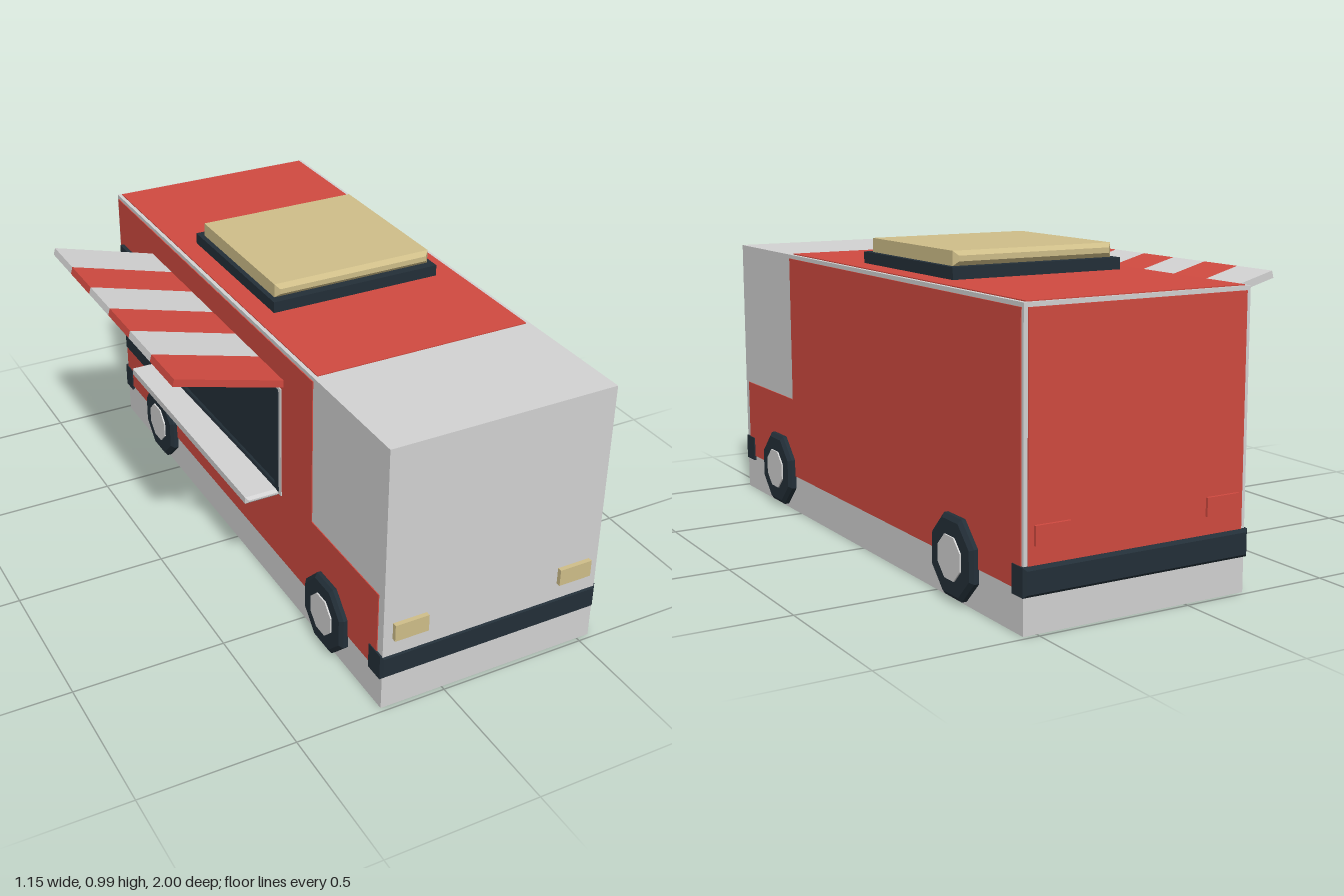
import * as THREE from 'three';

const mat = (name, color, opts = {}) => {
  const m = new THREE.MeshStandardMaterial({ color, ...opts });
  m.name = name;
  return m;
};

export function createModel() {
  const grey = mat('lightGrey', 0xd2d2d2, { flatShading: true });
  const red = mat('red', 0xd04a40, { flatShading: true });
  const dark = mat('darkSlate', 0x232f38, { flatShading: true });
  const beige = mat('beige', 0xcfbe89, { flatShading: true });

  const truck = new THREE.Group();
  truck.name = 'foodTruck';

  const add = (name, geo, material, parent = truck) => {
    const m = new THREE.Mesh(geo, material);
    m.name = name;
    parent.add(m);
    return m;
  };
  // box given by its minimum and maximum on each axis
  const box = (name, material, [x0, x1], [y0, y1], [z0, z1]) => {
    const g = new THREE.BoxGeometry(x1 - x0, y1 - y0, z1 - z0);
    g.translate((x0 + x1) / 2, (y0 + y1) / 2, (z0 + z1) / 2);
    return add(name, g, material);
  };
  // box with a single chamfer along every edge
  const chamferBox = (name, material, [x0, x1], [y0, y1], [z0, z1], b) => {
    const s = new THREE.Shape();
    s.moveTo(x0 + b, y0 + b).lineTo(x1 - b, y0 + b).lineTo(x1 - b, y1 - b).lineTo(x0 + b, y1 - b);
    s.closePath();
    const g = new THREE.ExtrudeGeometry(s, {
      depth: z1 - z0 - 2 * b, bevelEnabled: true, bevelSize: b, bevelThickness: b, bevelSegments: 1,
    });
    g.translate(0, 0, z0 + b);
    return add(name, g, material);
  };

  const L = -0.212, R = 0.543, MID = (L + R) / 2;

  // Body shell
  box('body', grey, [L, R], [0, 0.905], [-0.985, 0.985]);

  // Red side panels, stepped below the cab
  for (const [name, x] of [['rightSidePanel', L - 0.003], ['leftSidePanel', R]]) {
    const s = new THREE.Shape();
    s.moveTo(-0.955, 0.127).lineTo(0.975, 0.127).lineTo(0.975, 0.892)
      .lineTo(-0.545, 0.892).lineTo(-0.545, 0.4).lineTo(-0.955, 0.4);
    s.closePath();
    const g = new THREE.ExtrudeGeometry(s, { depth: 0.003, bevelEnabled: false });
    g.rotateY(Math.PI / 2).translate(x, 0, 0);
    add(name, g, red);
  }
  box('roofPanel', red, [L + 0.013, R - 0.013], [0.905, 0.908], [-0.975, 0.545]);
  box('backPanel', red, [L + 0.013, R - 0.013], [0.127, 0.892], [-0.988, -0.985]);

  // Bumpers wrap slightly round the body
  chamferBox('frontBumper', dark, [L - 0.006, R + 0.006], [0.11, 0.195], [0.905, 0.99], 0.009);
  chamferBox('rearBumper', dark, [L - 0.006, R + 0.006], [0.11, 0.195], [-1, -0.925], 0.009);

  // Lamps
  for (const side of [-1, 1]) {
    const c = MID + side * 0.289;
    box('headlight', beige, [c - 0.057, c + 0.057], [0.25, 0.307], [0.98, 1]);
    box('taillight', red, [c - 0.057, c + 0.057], [0.25, 0.307], [-0.997, -0.98]);
  }

  // Eight-sided wheels with chamfered tyres
  const tyreProfile = [[0.0, -0.02], [0.132, -0.02], [0.132, 0.016], [0.118, 0.026], [0.07, 0.026], [0, 0.02]]
    .map(([r, y]) => new THREE.Vector2(r, y));
  const tyreGeo = new THREE.LatheGeometry(tyreProfile, 8, Math.PI / 8);
  const hubGeo = new THREE.CylinderGeometry(0.07, 0.07, 0.04, 8, 1, false, Math.PI / 8);
  for (const side of [-1, 1]) {
    for (const z of [0.66, -0.627]) {
      const wheel = new THREE.Group();
      wheel.name = 'wheel';
      add('tyre', tyreGeo, dark, wheel);
      add('hub', hubGeo, grey, wheel).position.y = 0.011;
      wheel.rotation.z = -side * Math.PI / 2;
      wheel.position.set(side > 0 ? R : L, 0.134, z);
      truck.add(wheel);
    }
  }

  // Roof hatch
  box('hatchBase', dark, [-0.132, 0.46], [0.9, 0.945], [-0.457, 0.132]);
  chamferBox('hatchLid', beige, [-0.115, 0.443], [0.945, 0.99], [-0.44, 0.115], 0.014);

  // Serving window with a thin frame
  box('windowFrame', grey, [L - 0.006, L], [0.375, 0.765], [-0.64, 0.345]);
  box('servingWindow', dark, [L - 0.009, L], [0.385, 0.755], [-0.625, 0.33]);

  // Counter shelf
  chamferBox('counter', grey, [-0.33, L + 0.02], [0.363, 0.387], [-0.63, 0.325], 0.009);

  // Striped awning, rising outwards
  const inner = new THREE.Vector2(-0.205, 0.788), outer = new THREE.Vector2(-0.573, 0.887);
  const span = inner.clone().sub(outer), awning = new THREE.Group();
  awning.name = 'awning';
  for (let i = 0; i < 6; i++) {
    const g = new THREE.BoxGeometry(span.length(), 0.024, 0.17);
    add('awningStripe', g, i % 2 ? red : grey, awning).position.z = -0.575 + i * 0.17;
  }
  awning.position.set((inner.x + outer.x) / 2, (inner.y + outer.y) / 2, 0);
  awning.rotation.z = span.angle();
  truck.add(awning);

  // Awning struts
  const low = new THREE.Vector3(L, 0.39, 0), high = new THREE.Vector3(-0.545, 0.872, 0);
  const dir = high.clone().sub(low);
  for (const z of [-0.6, 0.3]) {
    const strut = add('awningStrut', new THREE.CylinderGeometry(0.008, 0.008, dir.length(), 6), dark);
    strut.position.copy(low).add(high).multiplyScalar(0.5).setZ(z);
    strut.quaternion.setFromUnitVectors(new THREE.Vector3(0, 1, 0), dir.clone().normalize());
  }

  // Menu board with four bars
  box('menuBoard', dark, [L - 0.018, L], [0.3, 0.725], [-0.942, -0.66]);
  for (let i = 0; i < 4; i++) {
    const y = 0.375 + i * 0.084;
    box('menuBar', grey, [L - 0.021, L - 0.01], [y - 0.014, y + 0.014], [-0.895, -0.705]);
  }

  return truck;
}
